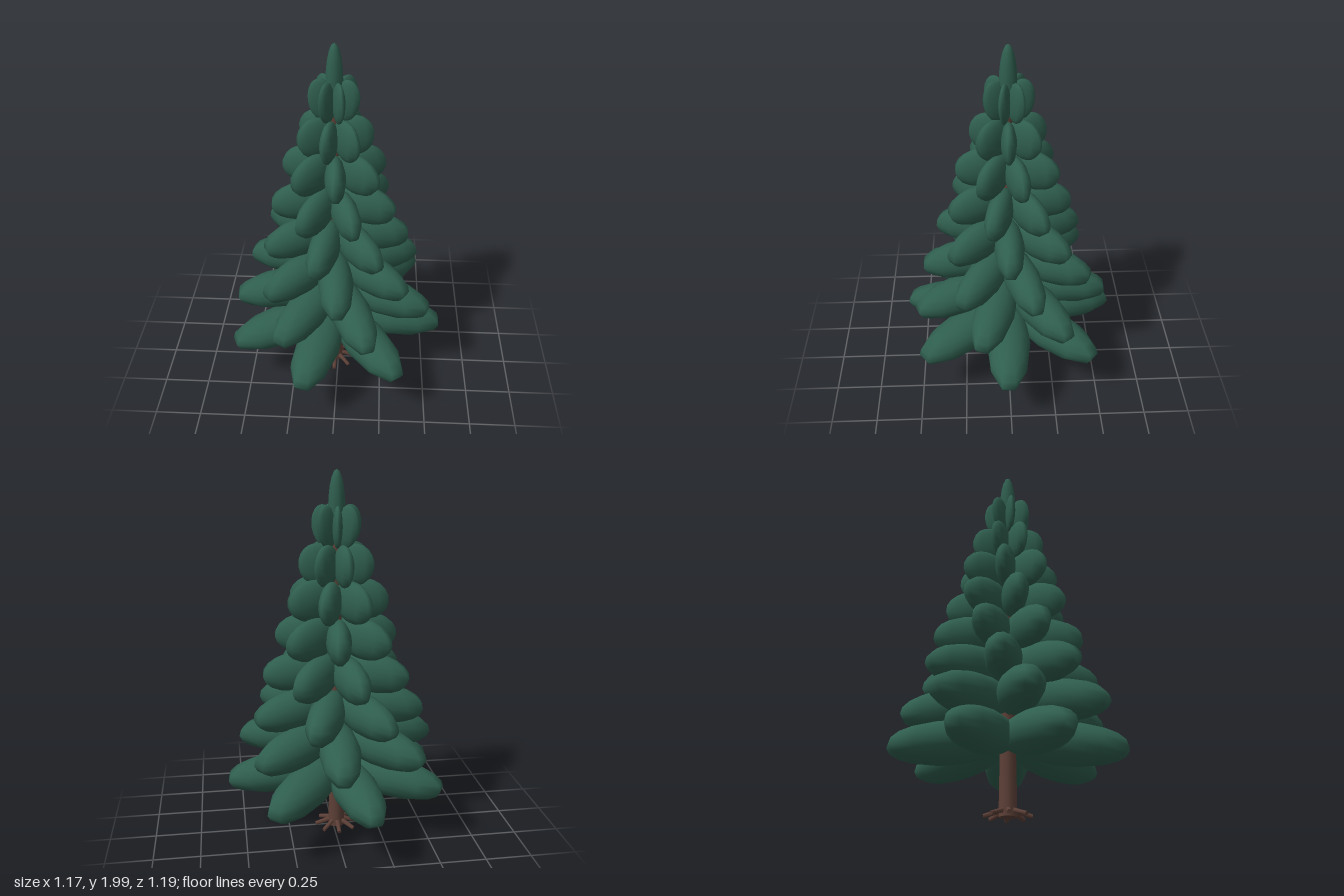
import * as THREE from 'three';

const needles = new THREE.MeshStandardMaterial({ color: 0x2f5e4e });
needles.name = 'needleGreen';
const bark = new THREE.MeshStandardMaterial({ color: 0x5d4037 });
bark.name = 'barkBrown';

const BRANCHES = 7;
const ROOTS = 8;
const SPACING = (Math.PI * 2) / BRANCHES;

// Tiers from the bottom up: centre height and reach from the trunk axis
const TIERS = [
  [0.36, 0.605], [0.565, 0.55], [0.75, 0.475], [0.945, 0.4],
  [1.14, 0.335], [1.335, 0.275], [1.52, 0.2], [1.715, 0.13],
];

// Unit blob with a blunt, narrow end facing +x
function blobGeometry() {
  const geo = new THREE.SphereGeometry(1, 10, 10);
  geo.rotateY(Math.PI / 10);
  return geo;
}

// Drooping branch pointing outward at an angle measured from +x towards +z
function makeBranch(geo, reach, angle) {
  const pivot = new THREE.Group();
  pivot.name = 'branch';
  pivot.rotation.y = -angle;
  const blob = new THREE.Mesh(geo, needles);
  blob.name = 'branchFoliage';
  blob.position.x = reach / 2;
  blob.rotation.z = -0.13;
  blob.scale.set(reach / 2 / 0.95, 0.11, reach * 0.2);
  pivot.add(blob);
  return pivot;
}

export function createModel() {
  const tree = new THREE.Group();
  tree.name = 'firTree';
  tree.position.set(-0.02, 0, -0.003);

  // Trunk
  const trunk = new THREE.Mesh(new THREE.CylinderGeometry(0.02, 0.046, 1.7, 12), bark);
  trunk.name = 'trunk';
  trunk.position.y = 0.86;
  tree.add(trunk);

  // Roots splayed around the foot
  const rootGeo = new THREE.CylinderGeometry(0.011, 0.014, 0.1, 6);
  rootGeo.rotateZ(-Math.PI / 2);
  for (let i = 0; i < ROOTS; i++) {
    const pivot = new THREE.Group();
    pivot.name = 'root';
    pivot.rotation.y = (i / ROOTS) * Math.PI * 2;
    const root = new THREE.Mesh(rootGeo, bark);
    root.name = 'rootLimb';
    root.position.set(0.072, 0.03, 0);
    root.rotation.z = -0.3;
    pivot.add(root);
    tree.add(pivot);
  }

  // Tiers of branches, each turned a third of the spacing from the one below
  const blob = blobGeometry();
  TIERS.forEach(([y, reach], t) => {
    const tier = new THREE.Group();
    tier.name = 'branchTier';
    tier.position.y = y;
    const start = (t % 3) * SPACING / 3 + (t === 0 ? 0.03 : 0);
    for (let i = 0; i < BRANCHES; i++) {
      tier.add(makeBranch(blob, reach, start + i * SPACING));
    }
    tree.add(tier);
  });

  // Upright leader at the crown
  const leader = new THREE.Mesh(blob, needles);
  leader.name = 'topShoot';
  leader.position.y = 1.8;
  leader.scale.set(0.045, 0.2, 0.045);
  tree.add(leader);

  const model = new THREE.Group();
  model.name = 'model';
  model.add(tree);
  return model;
}
